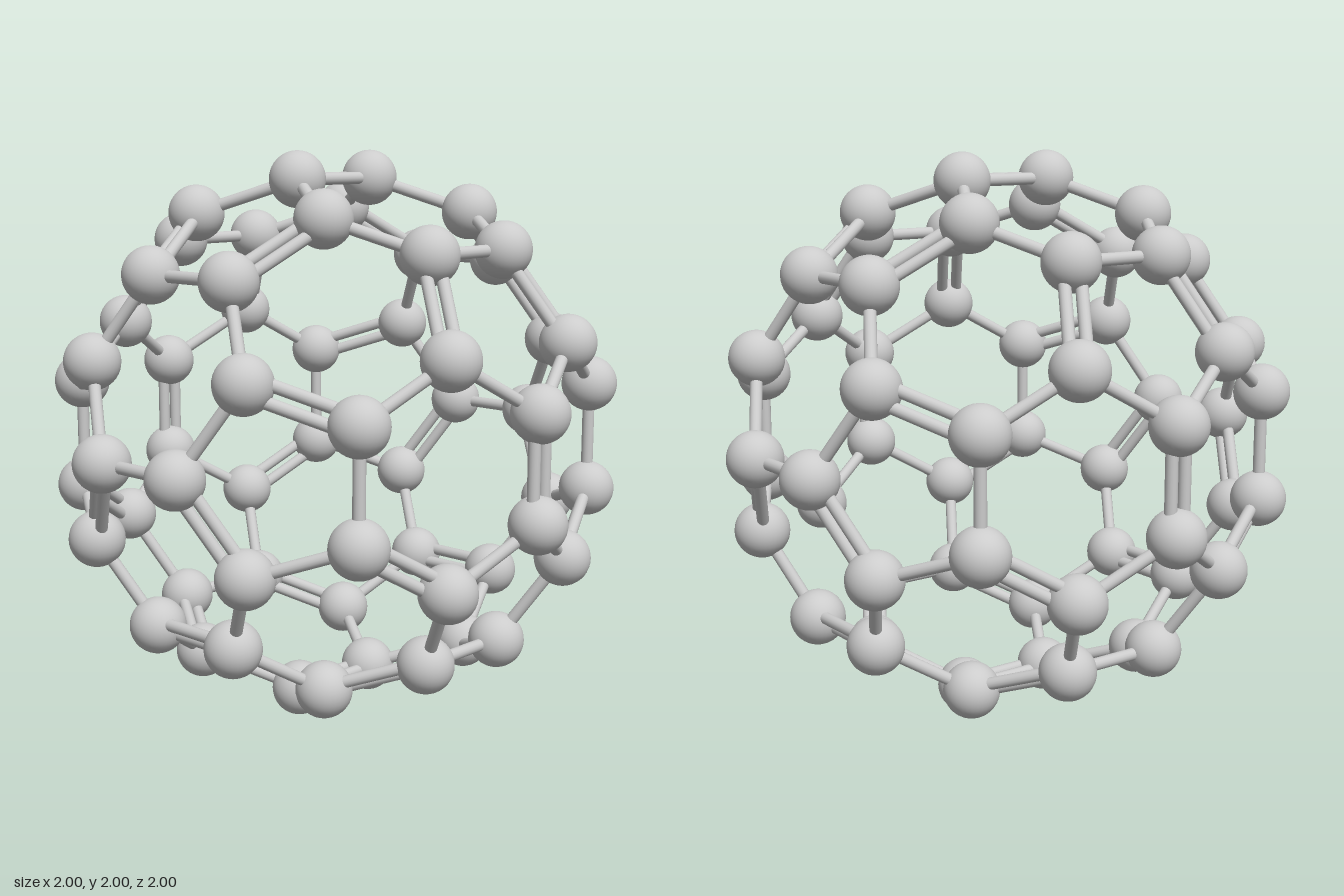
import * as THREE from 'three';

const ATOM_R = 0.097, BOND_R = 0.021, DOUBLE_OFFSET = 0.028, CENTRE_Y = 1;

// One octant of the cage; mirroring gives all 60 atoms
const OCTANT = {
  F: [0, 0.181, 0.903], R: [0.903, 0, 0.181], T: [0.181, 0.903, 0],
  B: [0.305, 0.369, 0.786], C: [0.786, 0.305, 0.369], A: [0.369, 0.786, 0.305],
  P: [0.189, 0.675, 0.598], Q: [0.598, 0.189, 0.675], S: [0.675, 0.598, 0.189],
};

// Neighbouring atom kinds (+ upper, - lower, 0 equator) joined by a double bond
const DOUBLE = new Set(['F+F-', 'B+P+', 'B-Q-', 'C+Q+', 'A+S+', 'T+T+', 'A-P-', 'S-S-', 'C-R0', 'T-T-']);

function makeAtoms() {
  const atoms = [];
  const signs = (v) => (v === 0 ? [1] : [1, -1]);
  for (const [letter, [x, y, z]] of Object.entries(OCTANT))
    for (const sy of signs(y))
      for (const sx of signs(x))
        for (const sz of signs(z))
          atoms.push({
            kind: letter + (y === 0 ? '0' : sy > 0 ? '+' : '-'),
            pos: new THREE.Vector3(x * sx, y * sy, z * sz),
          });
  return atoms;
}

export function createModel() {
  const model = new THREE.Group();
  model.name = 'moleculeCage';
  const material = new THREE.MeshStandardMaterial({ color: 0xcccccc });
  const ball = new THREE.SphereGeometry(ATOM_R, 32, 20);
  const rod = new THREE.CylinderGeometry(BOND_R, BOND_R, 1, 16, 1, true);
  const atoms = makeAtoms();

  // Balls
  const cage = new THREE.Group();
  cage.name = 'atoms';
  for (const { pos } of atoms) {
    const mesh = new THREE.Mesh(ball, material);
    mesh.name = 'atom';
    mesh.position.copy(pos);
    cage.add(mesh);
  }

  // Rods between neighbours, single or side by side in pairs
  const bonds = new THREE.Group();
  bonds.name = 'bonds';
  const up = new THREE.Vector3(0, 1, 0);
  atoms.forEach((a, i) => {
    for (const b of atoms.slice(i + 1)) {
      const length = a.pos.distanceTo(b.pos);
      if (length > 0.45) continue;
      const dir = b.pos.clone().sub(a.pos).normalize();
      const mid = a.pos.clone().add(b.pos).multiplyScalar(0.5);
      const side = dir.clone().cross(mid).normalize();
      const isDouble = DOUBLE.has(a.kind + b.kind) || DOUBLE.has(b.kind + a.kind);
      for (const offset of isDouble ? [-DOUBLE_OFFSET, DOUBLE_OFFSET] : [0]) {
        const mesh = new THREE.Mesh(rod, material);
        mesh.name = isDouble ? 'doubleBondRod' : 'singleBondRod';
        mesh.position.copy(mid).addScaledVector(side, offset);
        mesh.quaternion.setFromUnitVectors(up, dir);
        mesh.scale.y = length - ATOM_R * 1.6;
        bonds.add(mesh);
      }
    }
  });

  cage.position.y = bonds.position.y = CENTRE_Y;
  model.add(cage, bonds);
  return model;
}
